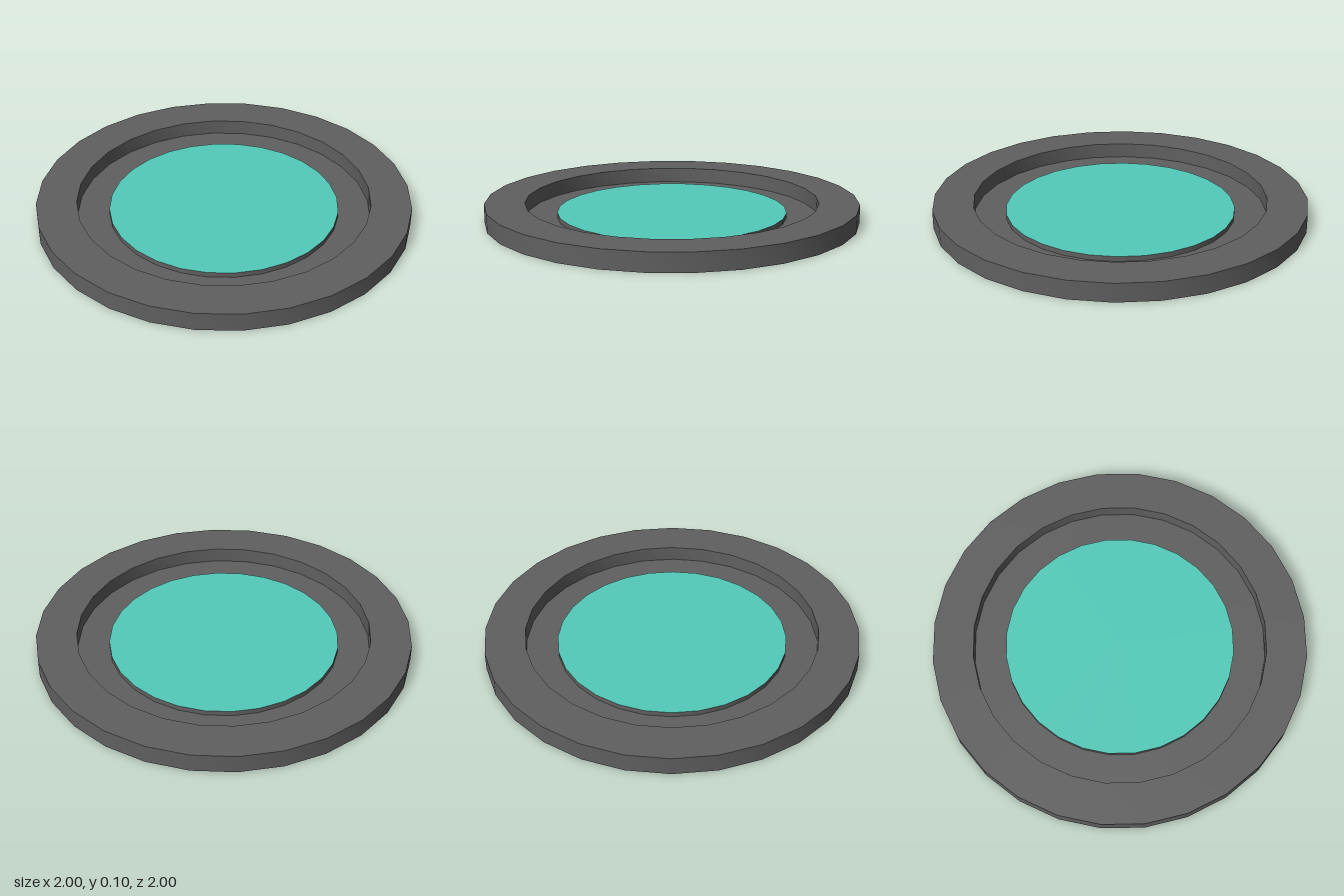
import * as THREE from 'three';
import { toCreasedNormals } from 'three/addons/utils/BufferGeometryUtils.js';

const SIDES = 28;
const OUTER = 1, INNER = 0.785, DISC = 0.615;
const HEIGHT = 0.1, FLOOR = 0.017, DISC_TOP = 0.044;

export function createModel() {
  const group = new THREE.Group();
  const dark = new THREE.MeshStandardMaterial({ color: 0x606060 });
  const teal = new THREE.MeshStandardMaterial({ color: 0x54cbba });

  const add = (name, geometry, material) => {
    const mesh = new THREE.Mesh(geometry, material);
    mesh.name = name;
    group.add(mesh);
    return mesh;
  };

  // Revolved profile: smooth around, sharp at the corners
  const revolve = (points) => toCreasedNormals(
    new THREE.LatheGeometry(points.map(([r, y]) => new THREE.Vector2(r, y)), SIDES), Math.PI / 6);

  // Raised rim, its inner wall and the sunken floor
  add('rim', revolve([[OUTER, 0], [OUTER, HEIGHT], [INNER, HEIGHT], [INNER, FLOOR], [DISC, FLOOR]]), dark);

  // Flat underside
  add('underside', new THREE.CircleGeometry(OUTER, SIDES), dark).rotation.x = Math.PI / 2;

  // Low step carrying the coloured disc
  add('discEdge', revolve([[DISC, FLOOR], [DISC, DISC_TOP]]), dark);

  // Coloured top of the disc
  const top = add('discTop', new THREE.CircleGeometry(DISC, SIDES), teal);
  top.rotation.x = -Math.PI / 2;
  top.position.y = DISC_TOP;

  return group;
}
